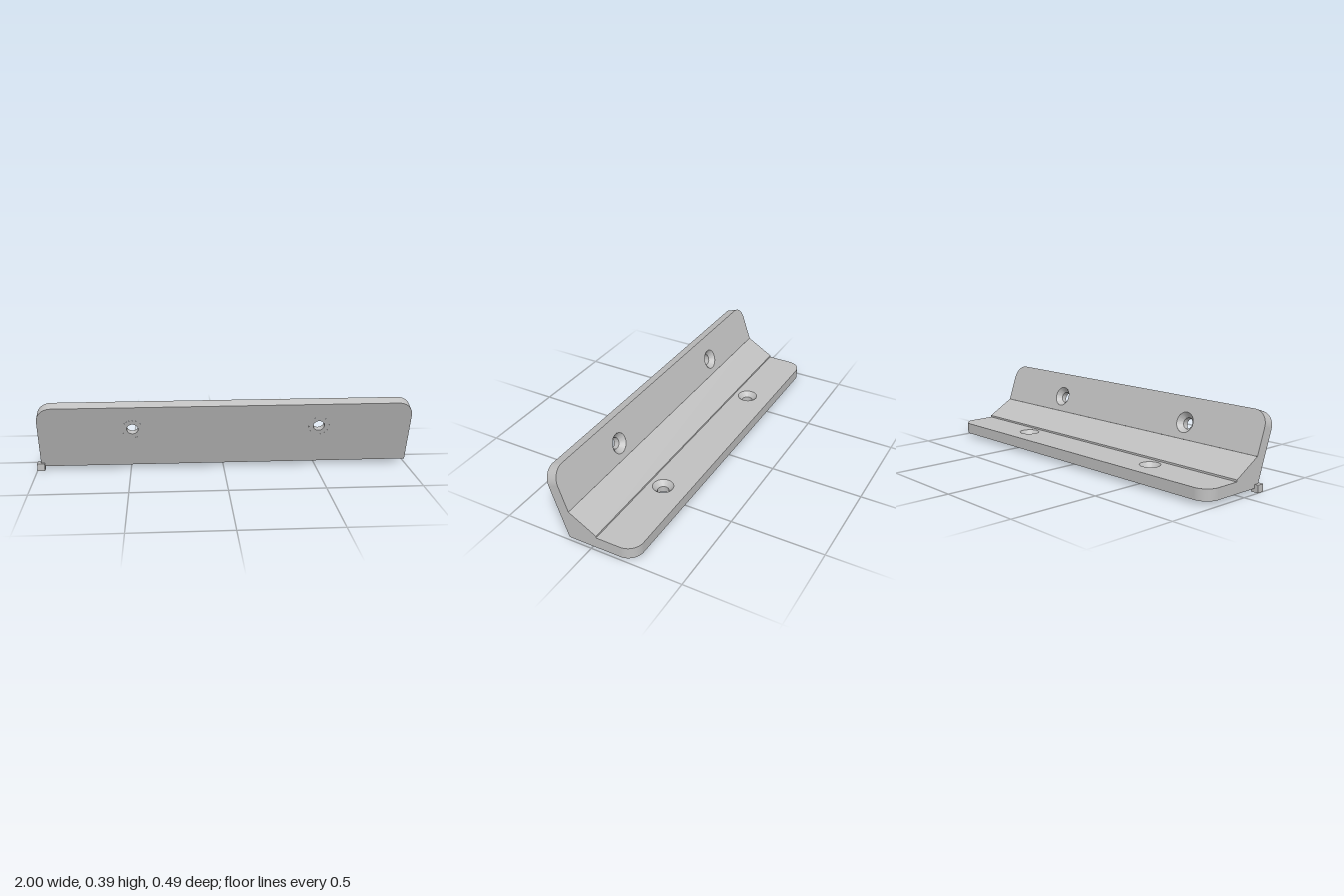
import * as THREE from 'three';
import { toCreasedNormals } from 'three/addons/utils/BufferGeometryUtils.js';

const WIDTH = 1.98, CENTRE_X = 0.01, THICK = 0.06;
const CORNER = 0.08;                       // rounded plate corners
const HOLE_X = 0.495, HOLE_FROM_TIP = 0.137;
const BORE = 0.03, SINK = 0.055, SINK_DEPTH = 0.027;

export function createModel() {
  const grey = new THREE.MeshStandardMaterial({ color: 0xc0c0c0 });
  grey.name = 'grey';
  const model = new THREE.Group();
  model.name = 'angleBracket';

  const add = (parent, geometry, name) => {
    const mesh = new THREE.Mesh(geometry, grey);
    mesh.name = name;
    parent.add(mesh);
    return mesh;
  };

  // Flange: plate growing along +y, plain face at z = 0, countersinks on z = t
  function flange(name, length, t) {
    const group = new THREE.Group();
    group.name = name;
    const w = WIDTH / 2, r = CORNER;
    const shape = new THREE.Shape();
    shape.moveTo(-w, 0);
    shape.lineTo(w, 0);
    shape.lineTo(w, length - r);
    shape.absarc(w - r, length - r, r, 0, Math.PI / 2);
    shape.lineTo(-w + r, length);
    shape.absarc(-w + r, length - r, r, Math.PI / 2, Math.PI);
    shape.closePath();
    const holeY = length - HOLE_FROM_TIP;
    for (const x of [-HOLE_X, HOLE_X]) {
      const hole = new THREE.Path();
      hole.absarc(x, holeY, SINK, 0, Math.PI * 2, true);
      shape.holes.push(hole);
      // Countersunk screw hole lining
      const profile = [[SINK, t], [BORE, t - SINK_DEPTH], [BORE, 0], [SINK, 0]];
      const lining = new THREE.LatheGeometry(profile.map(([a, b]) => new THREE.Vector2(a, b)), 32);
      lining.rotateX(Math.PI / 2).translate(x, holeY, 0);
      add(group, toCreasedNormals(lining, 0.5), 'screwHole');
    }
    add(group, new THREE.ExtrudeGeometry(shape, { depth: t, bevelEnabled: false, curveSegments: 32 }), name + 'Plate');
    model.add(group);
    return group;
  }

  // Horizontal flange, running backwards
  const base = flange('baseFlange', 0.214, THICK);
  base.rotation.x = -Math.PI / 2;
  base.position.set(CENTRE_X, 0.02, -0.033);

  // Leaning flange, tilted forwards
  const upright = flange('uprightFlange', 0.225, 0.0582);
  upright.rotation.set(Math.atan2(0.122, 0.35), Math.PI, 0);
  upright.position.set(CENTRE_X, 0.158, 0.173);

  // Solid bend with sloping fillet, as [z, y] section
  const section = [[0.125, 0.02], [0.173, 0.158], [0.118, 0.177], [-0.033, 0.09], [-0.033, 0.02]];
  const bend = new THREE.ExtrudeGeometry(
    new THREE.Shape(section.map(([z, y]) => new THREE.Vector2(-z, y))),
    { depth: WIDTH, bevelEnabled: false });
  bend.rotateY(Math.PI / 2).translate(CENTRE_X - WIDTH / 2, 0, 0);
  add(model, bend, 'bend');

  // Small cube at the lower front corner
  add(model, new THREE.BoxGeometry(0.04, 0.04, 0.04), 'cornerCube').position.set(-0.98, 0.02, 0.125);

  return model;
}
